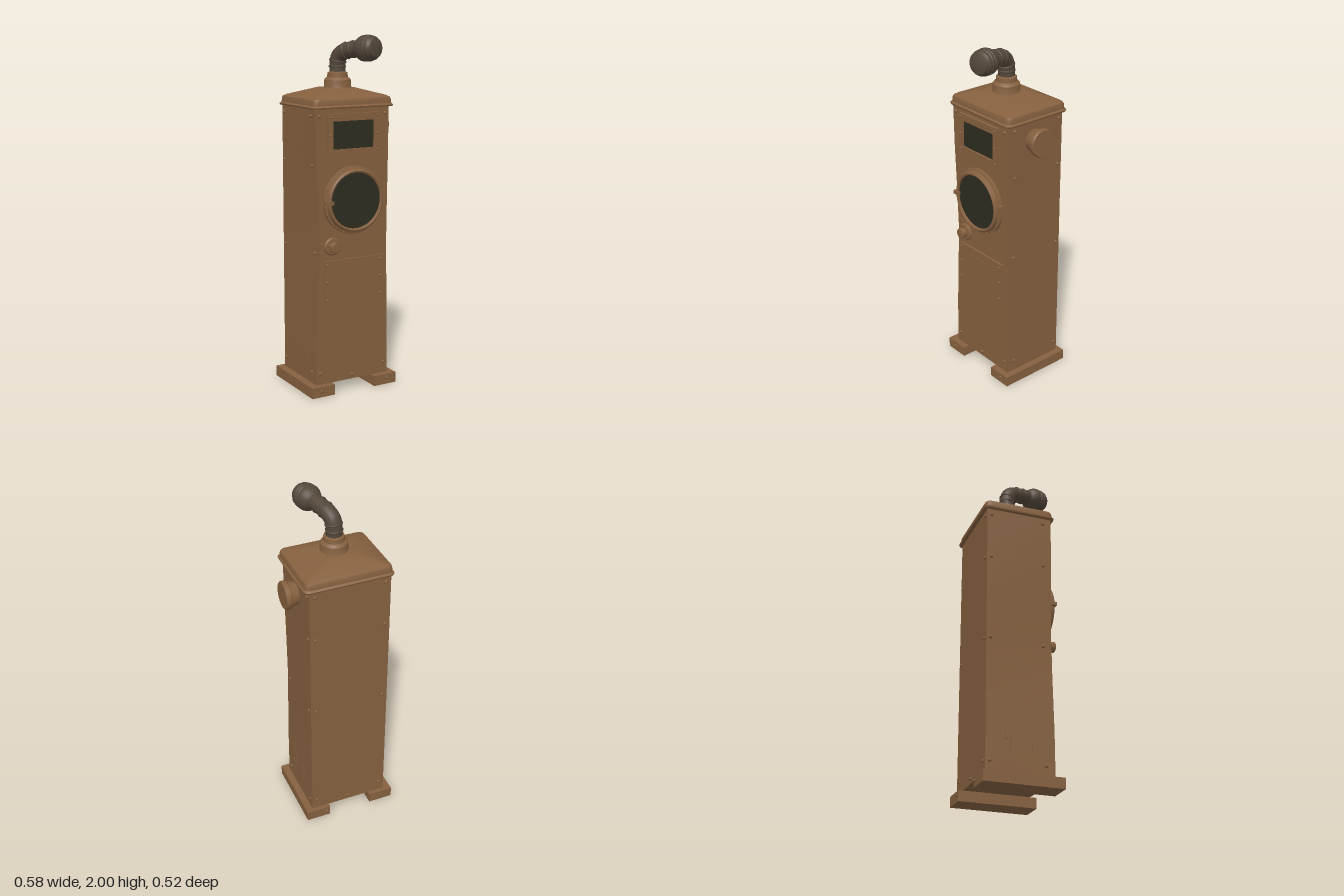
import * as THREE from 'three';
import { toCreasedNormals } from 'three/addons/utils/BufferGeometryUtils.js';

const material = (name, color) => {
  const m = new THREE.MeshStandardMaterial({ color });
  m.name = name;
  return m;
};

export function createModel() {
  const paint = material('brown paint', 0x85603f);
  const rubber = material('dark pipe', 0x53473a);
  const glass = material('dark glass', 0x2c2c20);
  const model = new THREE.Group();
  model.name = 'kioskCabinet';

  const add = (name, geo, mat, x = 0, y = 0, z = 0, parent = model) => {
    const mesh = new THREE.Mesh(geo, mat);
    mesh.name = name;
    mesh.position.set(x, y, z);
    parent.add(mesh);
    return mesh;
  };
  const box = (name, mat, x0, x1, y0, y1, z0, z1) =>
    add(name, new THREE.BoxGeometry(x1 - x0, y1 - y0, z1 - z0), mat,
      (x0 + x1) / 2, (y0 + y1) / 2, (z0 + z1) / 2);
  const lathe = (pts, seg = 32) => toCreasedNormals(
    new THREE.LatheGeometry(pts.map(p => new THREE.Vector2(...p)), seg), 0.5);
  const rivet = (x, y, z, r = 0.01) =>
    add('rivet', new THREE.SphereGeometry(r, 8, 6), paint, x, y, z);

  // Cabinet body, with dented front edges
  const dent = (side, y) => {
    const t = Math.max(0, 1 - Math.abs(y - 0.88) / 0.6);
    return (side < 0 ? 0.03 : 0.01) * t;
  };
  const bodyGeo = new THREE.BoxGeometry(0.465, 1.56, 0.385, 1, 6, 1);
  bodyGeo.translate(-0.0125, 0.84, -0.0325);
  const pos = bodyGeo.attributes.position;
  for (let i = 0; i < pos.count; i++) {
    if (pos.getZ(i) < 0) continue;
    const side = Math.sign(pos.getX(i));
    pos.setX(i, pos.getX(i) - side * dent(side, pos.getY(i)));
  }
  add('body', toCreasedNormals(bodyGeo, 0.1), paint);

  // Two skid feet with bolts
  for (const [x0, x1, xb] of [[-0.29, -0.145, -0.23], [0.115, 0.26, 0.2]]) {
    box('foot', paint, x0, x1, 0, 0.06, -0.25, 0.197);
    rivet(xb, 0.035, 0.197, 0.008);
    rivet(xb < 0 ? -0.165 : 0.135, 0.035, -0.25, 0.009);
  }

  // Roof: rounded rectangles stacked from the lip to the peak
  const levels = [
    [0.235, 0.19, 0.02, 1.605], [0.254, 0.21, 0.03, 1.607], [0.257, 0.213, 0.03, 1.616],
    [0.248, 0.204, 0.03, 1.625], [0.247, 0.203, 0.03, 1.648], [0.243, 0.199, 0.03, 1.658],
    [0.228, 0.184, 0.03, 1.667], [0.085, 0.08, 0.03, 1.708], [0.001, 0.001, 0.0005, 1.71],
  ];
  const verts = [], faces = [], n = 20;
  for (const [hw, hd, r, y] of levels) {
    for (let c = 0; c < 4; c++) {
      const sx = c === 0 || c === 3 ? 1 : -1, sz = c < 2 ? 1 : -1;
      for (let k = 0; k < 5; k++) {
        const a = (c + k / 4) * Math.PI / 2;
        verts.push(sx * (hw - r) + r * Math.cos(a), y, sz * (hd - r) + r * Math.sin(a));
      }
    }
  }
  for (let i = 0; i < levels.length - 1; i++) {
    for (let j = 0; j < n; j++) {
      const a = i * n + j, b = i * n + (j + 1) % n;
      faces.push(a, a + n, b, b, a + n, b + n);
    }
  }
  const roofGeo = new THREE.BufferGeometry();
  roofGeo.setAttribute('position', new THREE.Float32BufferAttribute(verts, 3));
  roofGeo.setIndex(faces);
  add('roof', toCreasedNormals(roofGeo, 0.6), paint, -0.007, 0, -0.032);

  // Collar under the pipe
  add('collar', lathe([[0.082, 1.68], [0.082, 1.7], [0.077, 1.708], [0.074, 1.75], [0.066, 1.76],
    [0.058, 1.765], [0.056, 1.79], [0.046, 1.795], [0.03, 1.795]]), paint, -0.004, 0, -0.02);

  // Bent pipe with joint rings
  const path = new THREE.CatmullRomCurve3([
    [-0.004, 1.78, -0.02], [-0.004, 1.84, -0.02], [0, 1.88, -0.008], [0.012, 1.905, 0.026],
    [0.029, 1.917, 0.075], [0.048, 1.925, 0.14],
  ].map(p => new THREE.Vector3(...p)));
  add('pipe', new THREE.TubeGeometry(path, 32, 0.045, 20), rubber);
  for (const t of [0.16, 0.28, 0.62, 0.8]) {
    const ring = add('pipeRing', new THREE.TorusGeometry(0.043, 0.006, 8, 24), rubber);
    ring.position.copy(path.getPointAt(t));
    ring.quaternion.setFromUnitVectors(new THREE.Vector3(0, 0, 1), path.getTangentAt(t));
  }

  // Ribbed pipe head
  const head = add('pipeHead', lathe([[0.044, 0], [0.058, 0.012], [0.068, 0.03], [0.072, 0.045],
    [0.072, 0.06], [0.067, 0.063], [0.071, 0.068], [0.071, 0.082], [0.066, 0.086], [0.068, 0.09],
    [0.065, 0.105], [0.055, 0.116], [0.052, 0.124], [0.03, 0.13], [0, 0.132]]), rubber,
    0.045, 1.923, 0.125);
  head.quaternion.setFromUnitVectors(new THREE.Vector3(0, 1, 0),
    new THREE.Vector3(0.31, 0.06, 0.95).normalize());

  // Upper window
  const frame = new THREE.Shape([[-0.175, 1.36], [0.15, 1.36], [0.15, 1.58], [-0.175, 1.58]]
    .map(p => new THREE.Vector2(...p)));
  frame.holes.push(new THREE.Path([[-0.143, 1.387], [-0.143, 1.54], [0.116, 1.54], [0.116, 1.387]]
    .map(p => new THREE.Vector2(...p))));
  add('windowFrame', new THREE.ExtrudeGeometry(frame, { depth: 0.02, bevelEnabled: false }),
    paint, 0, 0, 0.157);
  box('windowGlass', glass, -0.145, 0.118, 1.385, 1.542, 0.16, 0.167);
  for (const x of [-0.16, 0.134])
    for (const y of [1.375, 1.465, 1.562]) rivet(x, y, 0.177, 0.007);

  // Round porthole with rim, hinge and latch
  const porthole = new THREE.Group();
  porthole.name = 'porthole';
  porthole.position.set(-0.01, 1.1, 0.158);
  porthole.rotation.x = Math.PI / 2;
  model.add(porthole);
  add('portholeRim', lathe([[0.19, 0], [0.19, 0.018], [0.177, 0.022], [0.174, 0.04],
    [0.166, 0.046], [0.157, 0.042], [0.155, 0.02]], 48), paint, 0, 0, 0, porthole);
  add('portholeGlass', new THREE.CylinderGeometry(0.157, 0.157, 0.008, 48), glass,
    0, 0.028, 0, porthole);
  box('portholeLatch', paint, -0.2, -0.155, 1.088, 1.108, 0.165, 0.207);
  box('portholeHinge', paint, 0.165, 0.19, 1.06, 1.14, 0.16, 0.187);
  for (let i = 0; i < 8; i++) {
    const a = (i + 0.5) * Math.PI / 4;
    rivet(-0.01 + 0.183 * Math.cos(a), 1.1 + 0.183 * Math.sin(a), 0.177, 0.006);
  }

  // Knob
  const knob = add('knob', lathe([[0.05, 0], [0.05, 0.012], [0.044, 0.017], [0.024, 0.019],
    [0.024, 0.035], [0.03, 0.038], [0.03, 0.05], [0.025, 0.053], [0, 0.053]], 24), paint,
    -0.145, 0.85, 0.157);
  knob.rotation.x = Math.PI / 2;

  // Lower hatch with bolts and a raised scar
  box('hatch', paint, -0.195, 0.185, 0.53, 0.77, 0.155, 0.173);
  for (const x of [-0.18, 0.163])
    for (const y of [0.548, 0.65, 0.748]) rivet(x, y, 0.173, 0.008);
  box('hatchScar', paint, -0.09, 0.08, 0.716, 0.724, 0.17, 0.176).rotation.z = -0.06;

  // Side vent: flared neck and flat cap
  const vent = add('sideVent', lathe([[0.062, 0], [0.072, 0.045], [0.078, 0.05], [0.079, 0.07],
    [0.074, 0.077], [0, 0.077]]), paint, 0.218, 1.49, -0.026);
  vent.rotation.z = -Math.PI / 2;

  // Rivets along the body corners
  for (const y of [0.125, 0.81, 1.3, 1.57]) {
    for (const s of [-1, 1]) {
      const edge = s < 0 ? -0.245 : 0.22;
      rivet(edge - s * dent(s, y) * 0.87, y, 0.11);
      rivet(edge, y, -0.2);
      rivet(edge - s * 0.03, y, -0.225);
      if (y < 0.5 || y > 1.5) rivet(edge - s * 0.025, y, 0.16);
    }
  }
  rivet(-0.012, 0.088, 0.16);
  rivet(-0.012, 0.088, -0.225);

  // Narrow slits low on both sides
  for (const [z, y0, y1] of [[0.035, 0.19, 0.34], [0.065, 0.18, 0.23], [-0.085, 0.19, 0.28],
    [-0.11, 0.25, 0.29]]) {
    box('sideSlit', paint, 0.218, 0.223, y0, y1, z - 0.004, z + 0.004);
    box('sideSlit', paint, -0.248, -0.24, y0, y1, z - 0.004, z + 0.004);
  }
  return model;
}
